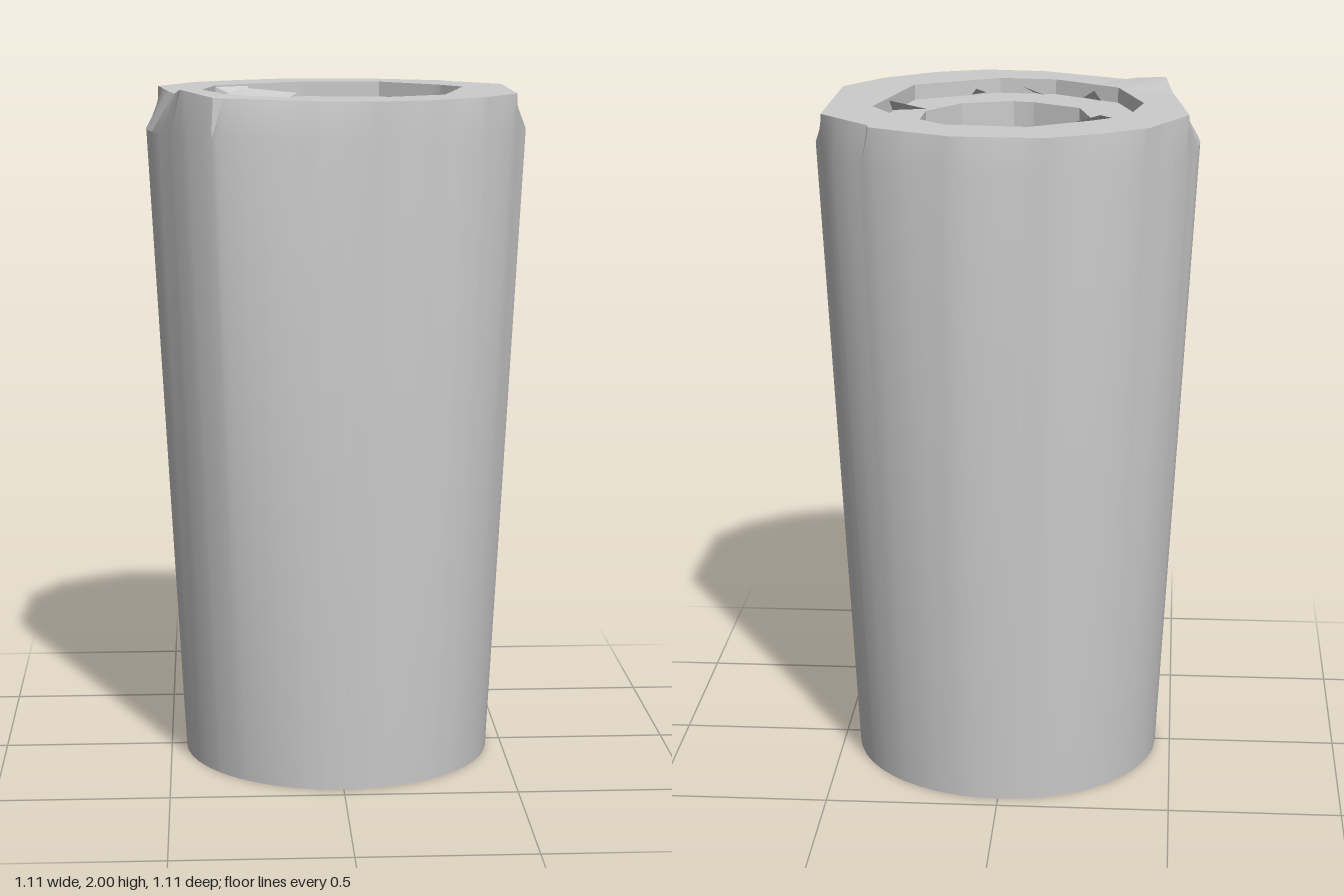
import * as THREE from 'three';
import { toCreasedNormals } from 'three/addons/utils/BufferGeometryUtils.js';

// Chipped outlines as [x, z] corners
const RIM_OUTER = [[0.505, 0.22], [0.4, 0.375], [0.25, 0.49], [0.1, 0.545], [-0.08, 0.525], [-0.33, 0.4],
  [-0.36, 0.41], [-0.45, 0.33], [-0.52, -0.18], [-0.41, -0.38], [-0.28, -0.47], [-0.14, -0.54],
  [0.12, -0.535], [0.355, -0.42], [0.36, -0.39], [0.51, -0.23]];
const RIM_INNER = [[0.295, 0.26], [0.05, 0.395], [-0.12, 0.38], [-0.31, 0.25], [-0.39, 0], [-0.35, -0.2],
  [-0.25, -0.28], [-0.08, -0.385], [0.15, -0.365], [0.32, -0.2], [0.38, -0.1]];
const HOLE = [[0.245, 0.08], [0.15, 0.21], [0, 0.255], [-0.06, 0.24], [-0.2, 0.155], [-0.25, -0.05],
  [-0.22, -0.14], [-0.14, -0.22], [0.12, -0.24], [0.2, -0.17], [0.25, -0.06]];

const TAU = Math.PI * 2;
const angleOf = ([x, z]) => (Math.atan2(z, x) + TAU) % TAU;

// Shared angles: an even division plus every outline corner
const angles = [...Array.from({ length: 48 }, (_, i) => (i / 48) * TAU),
  ...[...RIM_OUTER, ...RIM_INNER, ...HOLE].map(angleOf)]
  .sort((a, b) => a - b)
  .filter((a, i, all) => i === 0 || a - all[i - 1] > 1e-4);

// Distance from the axis to an outline along a ray
function outlineRadius(outline, a) {
  const c = Math.cos(a), s = Math.sin(a);
  let best = 0;
  outline.forEach(([x1, z1], i) => {
    const [x2, z2] = outline[(i + 1) % outline.length];
    const d1 = c * z1 - s * x1, d2 = c * z2 - s * x2;
    if (d1 > 1e-9 || d2 < -1e-9 || d2 - d1 < 1e-9) return;
    const t = -d1 / (d2 - d1);
    best = Math.max(best, c * (x1 + t * (x2 - x1)) + s * (z1 + t * (z2 - z1)));
  });
  return best;
}

const ring = (radius, height) => angles.map((a) => {
  const r = typeof radius === 'number' ? radius : outlineRadius(radius, a);
  const y = typeof height === 'number' ? height : height(a);
  return [r * Math.cos(a), y, r * Math.sin(a)];
});

// Skin between successive rings
function loft(name, material, rings) {
  const n = angles.length, index = [];
  for (let k = 0; k < rings.length - 1; k++) {
    for (let i = 0; i < n; i++) {
      const a = k * n + i, b = k * n + (i + 1) % n;
      index.push(a, a + n, b, b, a + n, b + n);
    }
  }
  const geo = new THREE.BufferGeometry();
  geo.setAttribute('position', new THREE.Float32BufferAttribute(rings.flat(2), 3));
  geo.setIndex(index);
  const mesh = new THREE.Mesh(toCreasedNormals(geo, 0.5), material);
  mesh.name = name;
  return mesh;
}

export function createModel() {
  const model = new THREE.Group();
  model.name = 'taperedSleeve';
  const grey = new THREE.MeshStandardMaterial({ color: 0xcccccc });
  grey.name = 'plain grey';
  const greyThin = grey.clone();
  greyThin.side = THREE.DoubleSide;

  // The rim lifts to a small peak at one corner
  const peak = angleOf([-0.45, 0.33]);
  const rimHeight = (a) => 1.98 + 0.02 * Math.max(0, 1 - Math.abs(a - peak) / 0.25);

  const foot = ring(0.455, 0), shoulder = ring(0.553, 1.87);
  const rimOut = ring(RIM_OUTER, rimHeight), rimIn = ring(RIM_INNER, 1.98);
  const ledgeOut = ring(RIM_INNER, 1.935), ledgeIn = ring(HOLE, 1.935);
  const collarEnd = ring(HOLE, 1.8);
  const ceiling = ring(0.5, 1.8), footIn = ring(0.41, 0);

  model.add(
    loft('outerWall', grey, [foot, shoulder, rimOut]),
    loft('topRim', grey, [rimOut, rimIn]),
    loft('innerLedge', grey, [rimIn, ledgeOut, ledgeIn]),
    loft('collar', grey, [ledgeIn, collarEnd]),
    loft('innerCavity', grey, [collarEnd, ceiling, footIn]),
    loft('bottomEdge', grey, [footIn, foot]),
  );

  // Broken facets standing on the ledge
  const shards = [
    [[-0.1, 1.95, -0.31], [-0.27, 1.975, -0.17], [-0.23, 1.9, -0.12]],
    [[-0.27, 1.975, -0.17], [-0.37, 1.94, -0.1], [-0.25, 1.94, -0.05]],
    [[-0.35, 1.975, -0.2], [-0.25, 1.975, -0.26], [-0.27, 1.94, -0.17]],
    [[0.15, 1.98, -0.365], [0.26, 1.94, -0.31], [0.32, 1.98, -0.2]],
    [[0.245, 1.94, 0.085], [0.345, 1.975, 0.02], [0.34, 1.94, 0.06]],
    [[0.11, 1.975, 0.23], [0.09, 1.94, 0.37], [0.13, 1.94, 0.33]],
    [[-0.03, 1.975, 0.27], [-0.09, 1.94, 0.33], [-0.05, 1.94, 0.385]],
    [[-0.24, 1.975, 0.22], [-0.26, 1.94, 0.25], [-0.205, 1.94, 0.3]],
  ];
  const shardGeo = new THREE.BufferGeometry();
  shardGeo.setAttribute('position', new THREE.Float32BufferAttribute(shards.flat(2), 3));
  shardGeo.computeVertexNormals();
  const shardMesh = new THREE.Mesh(shardGeo, greyThin);
  shardMesh.name = 'ledgeShards';
  model.add(shardMesh);
  return model;
}
